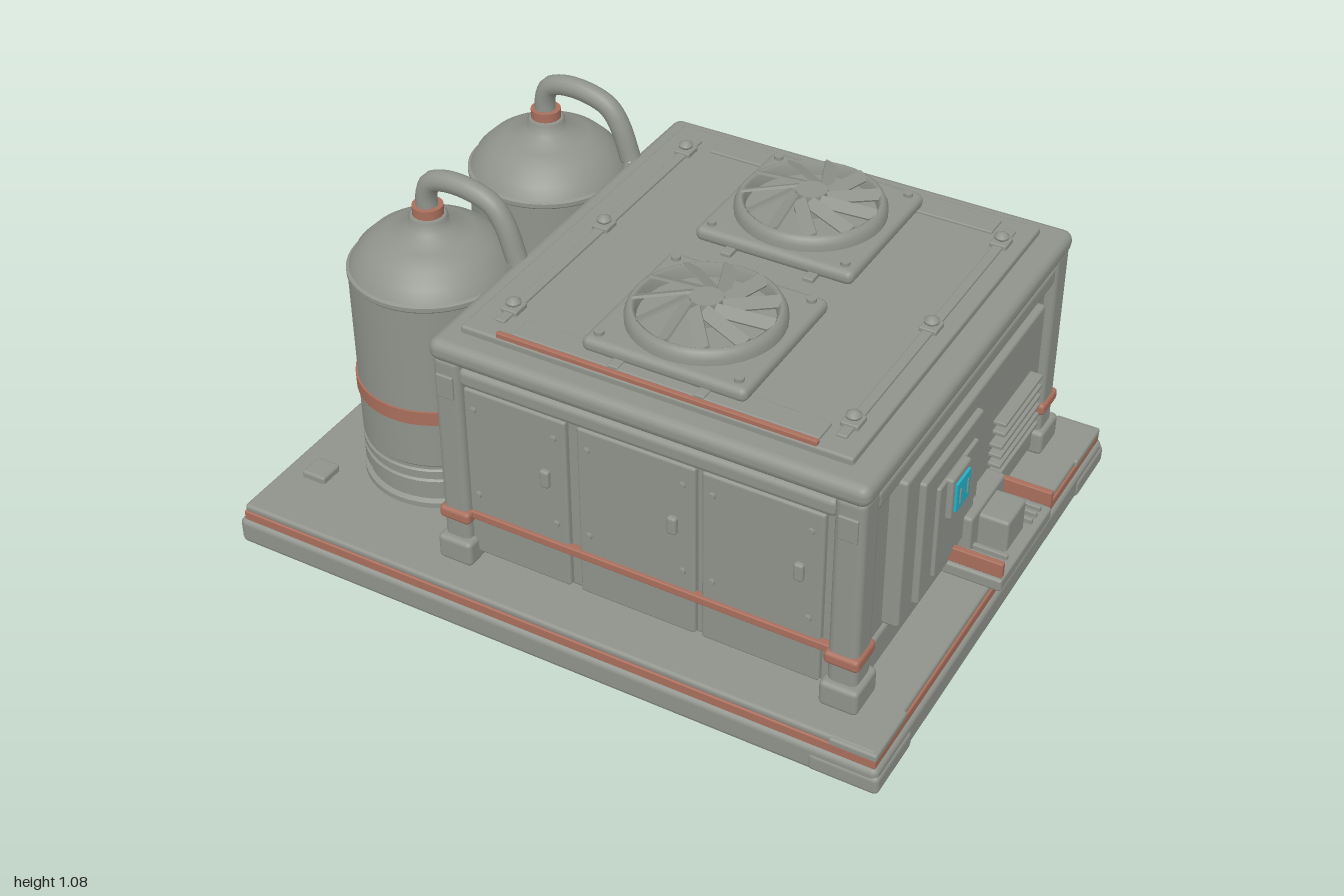
import * as THREE from 'three';
import { RoundedBoxGeometry } from 'three/addons/geometries/RoundedBoxGeometry.js';

const mat = (name, color) => {
  const m = new THREE.MeshStandardMaterial({ color, side: THREE.DoubleSide });
  m.name = name;
  return m;
};

export function createModel() {
  const root = new THREE.Group();
  root.name = 'coolingUnit';
  const steel = mat('steelGrey', 0x8f938b);
  const copper = mat('copper', 0xa86e5c);
  const teal = mat('screenTeal', 0x22b0c8);

  const add = (parent, name, geo, m, x = 0, y = 0, z = 0) => {
    const mesh = new THREE.Mesh(geo, m);
    mesh.name = name;
    mesh.position.set(x, y, z);
    parent.add(mesh);
    return mesh;
  };
  // Rounded box given by its extents on each axis
  const box = (parent, name, m, [x0, x1], [y0, y1], [z0, z1], r = 0.006) => {
    const w = x1 - x0, h = y1 - y0, d = z1 - z0;
    const geo = r > 0
      ? new RoundedBoxGeometry(w, h, d, 2, Math.min(r, w * 0.45, h * 0.45, d * 0.45))
      : new THREE.BoxGeometry(w, h, d);
    return add(parent, name, geo, m, (x0 + x1) / 2, (y0 + y1) / 2, (z0 + z1) / 2);
  };
  const mirrorZ = (s, a, b) => (s > 0 ? [a, b] : [-b, -a]);
  const group = (name, parent = root) => {
    const g = new THREE.Group();
    g.name = name;
    parent.add(g);
    return g;
  };

  // Base slab with copper seam
  const base = group('base');
  box(base, 'baseSlab', steel, [-1, 0.94], [0, 0.082], [-0.75, 0.75], 0.018);
  box(base, 'baseSeam', copper, [-0.985, 0.93], [0.078, 0.108], [-0.74, 0.74], 0.004);
  box(base, 'baseTop', steel, [-0.985, 0.925], [0.103, 0.127], [-0.735, 0.735], 0.01);
  for (const s of [-1, 1]) {
    box(base, 'baseCorner', steel, [0.75, 0.945], [0.003, 0.062], mirrorZ(s, 0.55, 0.753), 0.015);
    box(base, 'baseCornerCap', steel, [0.8, 0.932], [0.1, 0.125], mirrorZ(s, 0.56, 0.74), 0.008);
    box(base, 'basePad', steel, [-0.92, -0.845], [0.12, 0.148], mirrorZ(s, 0.485, 0.56), 0.008);
  }

  // Cabinet shell and roof
  const cabinet = group('cabinet');
  box(cabinet, 'cabinetBody', steel, [-0.36, 0.79], [0.147, 0.8], [-0.59, 0.59], 0.01);
  box(cabinet, 'roofSlab', steel, [-0.4, 0.825], [0.762, 0.826], [-0.635, 0.635], 0.028);
  box(cabinet, 'roofPlate', steel, [-0.34, 0.75], [0.815, 0.846], [-0.57, 0.565], 0.008);
  box(cabinet, 'sideRail', steel, [0.77, 0.815], [0.695, 0.76], [-0.55, 0.55], 0.02);
  box(cabinet, 'sideRail', steel, [-0.385, -0.34], [0.695, 0.76], [-0.55, 0.55], 0.02);
  box(cabinet, 'sideSill', steel, [0.77, 0.8], [0.14, 0.24], [-0.55, 0.55], 0.02);

  // Corner posts, feet and straps
  for (const s of [-1, 1]) {
    for (const [x0, x1] of [[-0.39, -0.31], [0.735, 0.818]]) {
      box(cabinet, 'post', steel, [x0, x1], [0.16, 0.78], mirrorZ(s, 0.54, 0.63), 0.02);
      box(cabinet, 'postFoot', steel, [x0 - 0.01, x1 + 0.014], [0.125, 0.203], mirrorZ(s, 0.53, 0.65), 0.014);
      box(cabinet, 'postStrap', copper, [x0 - 0.006, x1 + 0.008], [0.258, 0.296], mirrorZ(s, 0.535, 0.64), 0.012);
      box(cabinet, 'postPlate', steel, [x0 + 0.015, x1 - 0.015], [0.66, 0.73], mirrorZ(s, 0.62, 0.636), 0.004);
    }
  }

  // Three doors on the front and three on the back
  const knob = new THREE.CylinderGeometry(0.01, 0.01, 0.012, 10).rotateX(Math.PI / 2);
  for (const s of [-1, 1]) {
    const side = group(s > 0 ? 'frontDoors' : 'backDoors', cabinet);
    box(side, 'topRail', steel, [-0.32, 0.74], [0.7, 0.755], mirrorZ(s, 0.58, 0.622), 0.018);
    box(side, 'doorStrip', copper, [-0.31, 0.74], [0.272, 0.296], mirrorZ(s, 0.595, 0.618), 0.004);
    for (const [x0, x1] of [[-0.315, -0.012], [0.02, 0.357], [0.375, 0.707]]) {
      box(side, 'door', steel, [x0, x1], [0.155, 0.69], mirrorZ(s, 0.58, 0.608), 0.008);
      box(side, 'doorHandle', steel, [x1 - 0.075, x1 - 0.048], [0.468, 0.522], mirrorZ(s, 0.6, 0.622), 0.008);
      for (const x of [x0 + 0.03, x1 - 0.035])
        for (const y of [0.355, 0.63]) add(side, 'doorBolt', knob, steel, x, y, s * 0.611);
    }
  }

  // Control side: stacked panels, screen and louvres
  const control = group('controlSide');
  box(control, 'sidePanel', steel, [0.78, 0.835], [0.245, 0.71], [-0.43, 0.43], 0.01);
  box(control, 'controlPanel', steel, [0.82, 0.852], [0.272, 0.66], [0.005, 0.355], 0.008);
  box(control, 'controlInset', steel, [0.84, 0.862], [0.315, 0.6], [0.05, 0.285], 0.006);
  box(control, 'screenBezel', steel, [0.85, 0.877], [0.475, 0.602], [0.13, 0.243], 0.008);
  box(control, 'screen', teal, [0.876, 0.884], [0.496, 0.582], [0.148, 0.228], 0);
  for (const z of [0.163, 0.208]) box(control, 'screenMark', steel, [0.88, 0.887], [0.515, 0.56], [z, z + 0.004], 0);
  for (let i = 0; i < 6; i++) {
    const y = 0.37 + i * 0.0315;
    box(control, 'louvre', steel, [0.825, 0.87], [y - 0.006, y + 0.006], [-0.365, i < 4 ? -0.1 : -0.115], 0.003);
  }
  // Projecting tray
  box(control, 'tray', steel, [0.82, 1.0], [0.235, 0.273], [-0.17, 0.17], 0.008);
  box(control, 'trayBack', steel, [0.82, 0.885], [0.265, 0.385], [-0.11, 0.11], 0.01);
  box(control, 'trayBox', steel, [0.86, 0.966], [0.265, 0.368], [-0.06, 0.06], 0.01);
  for (const s of [-1, 1]) {
    box(control, 'trayArm', copper, [0.835, 1.0], [0.283, 0.328], mirrorZ(s, 0.153, 0.171), 0.003);
    for (const z of [0.075, 0.105, 0.132])
      box(control, 'trayRib', steel, [0.87, 0.98], [0.265, 0.288], mirrorZ(s, z, z + 0.014), 0.003);
  }
  // Plain panel on the tank side
  box(control, 'tankSidePanel', steel, [-0.375, -0.35], [0.245, 0.69], [-0.43, 0.43], 0.008);

  // Roof rails, strips and bolts
  const roof = group('roofFittings');
  const boltGeo = new THREE.LatheGeometry(
    [[0.013, 0], [0.013, 0.012], [0.025, 0.018], [0.025, 0.025], [0.012, 0.034], [0, 0.036]].map(p => new THREE.Vector2(...p)), 14);
  for (const x of [-0.26, 0.69]) {
    box(roof, 'roofRail', steel, [x - 0.014, x + 0.014], [0.84, 0.853], [-0.51, 0.505], 0.004);
    for (const z of [-0.44, 0, 0.44]) {
      box(roof, 'railClamp', steel, [x - 0.024, x + 0.024], [0.84, 0.859], [z - 0.026, z + 0.026], 0.004);
      add(roof, 'railBolt', boltGeo, steel, x, 0.85, z).scale.set(0.8, 0.9, 0.8);
    }
  }
  for (const s of [-1, 1])
    box(roof, 'roofStrip', steel, [-0.2, 0.65], [0.84, 0.853], mirrorZ(s, 0.47, 0.54), 0.004);
  box(roof, 'roofTrim', copper, [-0.235, 0.655], [0.84, 0.858], [0.547, 0.562], 0.003);

  // Roof fans: housing, ring and raked blades
  for (const s of [-1, 1]) {
    const fan = group('fan');
    fan.position.set(0.208, 0, s * 0.285);
    box(fan, 'fanHousing', steel, [-0.23, 0.23], [0.845, 0.888], [-0.225, 0.225], 0.02);
    const collar = [[0.205, 0.88], [0.205, 0.905], [0.197, 0.922], [0.187, 0.928], [0.178, 0.922], [0.175, 0.89]];
    add(fan, 'fanRing', new THREE.LatheGeometry(collar.map(p => new THREE.Vector2(...p)), 40), steel);
    add(fan, 'fanHub', new THREE.CylinderGeometry(0.042, 0.046, 0.07, 20), steel, 0, 0.917, 0);
    for (let i = 0; i < 11; i++) {
      const arm = group('fanBlade', fan);
      arm.rotation.y = i * Math.PI * 2 / 11;
      const blade = add(arm, 'blade', new THREE.BoxGeometry(0.152, 0.007, 0.036), steel, 0.113, 0.933, 0.012);
      blade.rotation.set(0.45, 0.16, -0.2);
    }
    for (const x of [-0.195, 0.195])
      for (const z of [-0.19, 0.19])
        add(fan, 'housingBolt', new THREE.CylinderGeometry(0.013, 0.013, 0.014, 12), steel, x, 0.891, z);
    for (const x of [-0.12, 0.12]) box(fan, 'fanTab', steel, [x - 0.015, x + 0.015], [0.84, 0.858], [-0.255, 0.255], 0.004);
  }

  // Tanks with domes, bands, outlet pipes and drain valves
  const tankProfile = [
    [0, 0.125], [0.228, 0.125], [0.228, 0.143], [0.215, 0.15], [0.215, 0.172], [0.224, 0.178], [0.224, 0.215],
    [0.218, 0.22], [0.218, 0.228], [0.224, 0.233], [0.224, 0.25], [0.219, 0.255], [0.219, 0.265], [0.223, 0.27],
    [0.223, 0.772], [0.226, 0.776], [0.226, 0.788], [0.218, 0.792], [0.2, 0.826], [0.165, 0.86], [0.12, 0.883],
    [0.055, 0.9], [0.052, 0.932], [0.045, 0.938], [0, 0.938]];
  // Duplicate points keep the profile's steps crisp below the dome
  const crisp = tankProfile.flatMap((p, i) => (i > 0 && i < 18 ? [p, p] : [p])).map(p => new THREE.Vector2(...p));
  const outlet = new THREE.CatmullRomCurve3([
    [0, 0.93], [0, 1.0], [0.018, 1.036], [0.06, 1.052], [0.14, 1.049], [0.205, 1.024], [0.24, 0.975], [0.272, 0.882],
  ].map(([x, y]) => new THREE.Vector3(x, y, 0)));
  const drain = new THREE.CatmullRomCurve3([
    [-0.2, 0.285], [-0.235, 0.28], [-0.247, 0.25], [-0.242, 0.215], [-0.2, 0.205],
  ].map(([x, y]) => new THREE.Vector3(x, y, 0)));
  for (const s of [-1, 1]) {
    const tank = group('tank');
    tank.position.set(-0.62, 0, s * 0.287);
    add(tank, 'tankShell', new THREE.LatheGeometry(crisp, 48), steel);
    add(tank, 'tankBand', new THREE.CylinderGeometry(0.229, 0.229, 0.042, 48), copper, 0, 0.433, 0);
    add(tank, 'neckRing', new THREE.CylinderGeometry(0.042, 0.042, 0.026, 24), copper, 0, 0.951, 0);
    add(tank, 'outletPipe', new THREE.TubeGeometry(outlet, 32, 0.029, 14), steel);
    const end = add(tank, 'pipeEnd', new THREE.CircleGeometry(0.029, 14), steel, 0.272, 0.882, 0);
    end.lookAt(end.position.clone().add(outlet.getTangent(1)));
    add(tank, 'drainElbow', new THREE.TubeGeometry(drain, 16, 0.02, 10), steel);
    box(tank, 'gaugePlate', steel, [-0.232, -0.21], [0.515, 0.61], [-0.035, 0.035], 0.006);
    for (const y of [0.495, 0.63]) box(tank, 'gaugeClip', steel, [-0.235, -0.21], [y - 0.008, y + 0.008], [-0.018, 0.018], 0.004);
  }
  return root;
}
